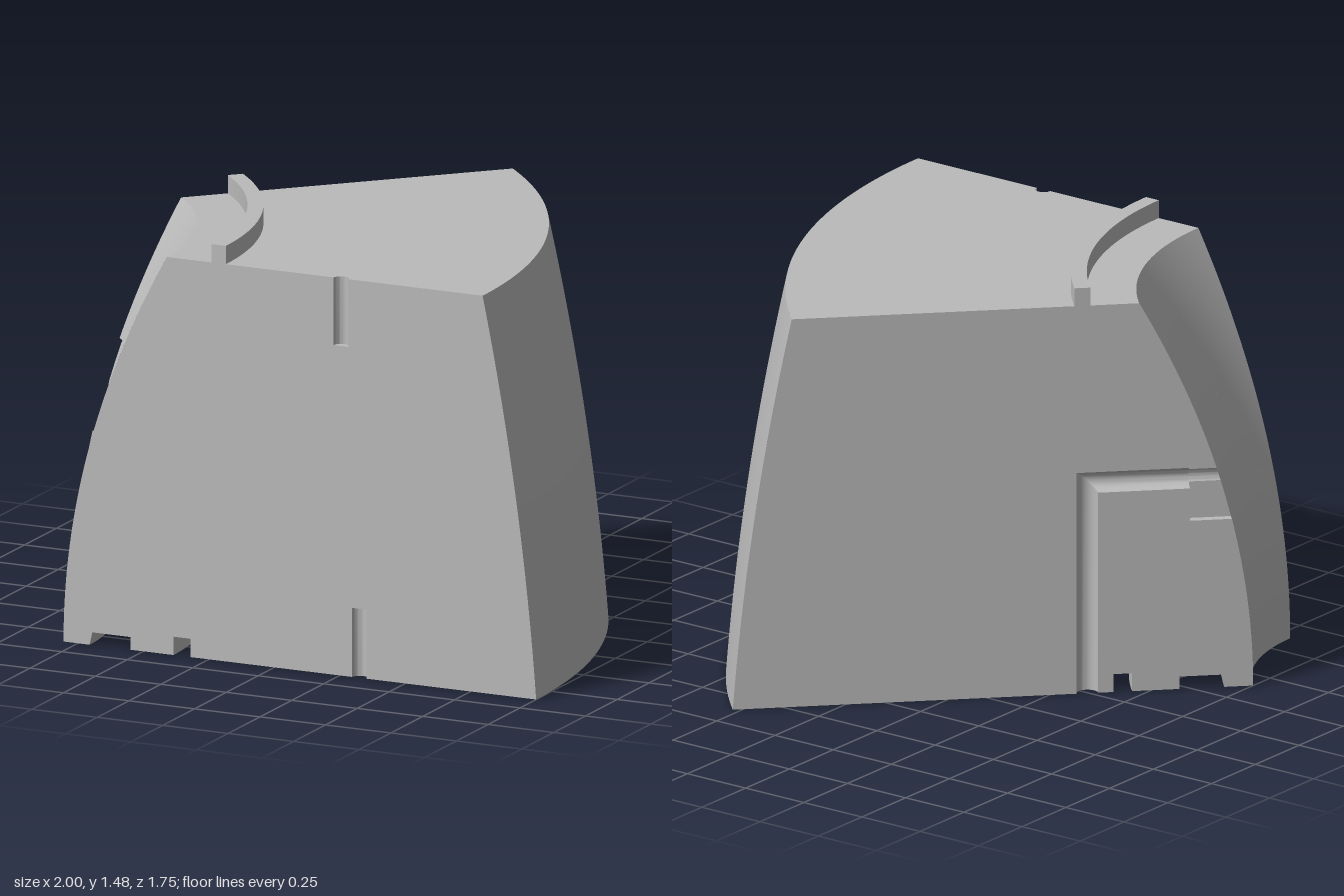
import * as THREE from 'three';
import { toCreasedNormals } from 'three/addons/utils/BufferGeometryUtils.js';

const SWEEP = Math.PI / 4, H = 1.41, C = Math.SQRT1_2;
const inner = y => 0.665 + 0.395 * (y / H) ** 2;          // wall radii by height
const outer = y => 2.47 - 0.0745 * y - 0.05 * y * y;
const lerp = (a, b, t) => a + (b - a) * t;
const range = (n, f) => Array.from({ length: n + 1 }, (_, i) => f(i / n));

// Underside section with its two ring grooves
const under = [[0.665, 0], [0.765, 0], [0.775, 0.045], [0.92, 0.045], [0.92, 0],
  [1.085, 0], [1.085, 0.065], [1.15, 0.065], [1.15, 0]];

// Side pocket and elbow channel on the slanted face
const R = 0.0375, CX = 1.24, CY = 0.765, PX = 0.884, P0 = 0.61, P1 = 0.93, PD = 0.03;
const channelDepth = y => Math.sqrt(Math.max(0, R * R - (y - CY) ** 2));
const pocketDepth = y => Math.max(PD, channelDepth(y));
const wallAt = (y, d) => Math.sqrt(inner(y) ** 2 - d * d);

// Half-round notches on the front face: radius position, bottom, top
const r = 0.028, notches = [[1.725, 1.17, H], [1.795, 0, 0.245]];

function flipFaces(g) {
  const ix = g.index.array;
  for (let i = 0; i < ix.length; i += 3) [ix[i + 1], ix[i + 2]] = [ix[i + 2], ix[i + 1]];
  g.computeVertexNormals();
  return g;
}

// Grid surface from a rule f(u, v) -> [x, y, z]
function sheet(nu, nv, f, flip = false) {
  const pos = [], idx = [], w = nu + 1;
  for (let j = 0; j <= nv; j++) for (let i = 0; i <= nu; i++) pos.push(...f(i / nu, j / nv));
  for (let j = 0; j < nv; j++) for (let i = 0; i < nu; i++) {
    const a = j * w + i, b = a + 1, c = a + w, d = c + 1;
    idx.push(a, b, d, a, d, c);
  }
  const g = new THREE.BufferGeometry();
  g.setAttribute('position', new THREE.Float32BufferAttribute(pos, 3));
  g.setIndex(idx);
  if (flip) flipFaces(g);
  return toCreasedNormals(g, Math.PI / 6);
}

const shapeOf = pts => new THREE.Shape(pts.map(p => new THREE.Vector2(p[0], p[1])));
const polar = (rad, a, y) => [rad * Math.cos(a), y, -rad * Math.sin(a)];
const arc = (rad, a, b) => range(40, t => [rad * Math.cos(lerp(a, b, t)), rad * Math.sin(lerp(a, b, t))]);
const halfRound = s => range(12, t => [s - r * Math.cos(Math.PI * t), r * Math.sin(Math.PI * t)]);

function face(pts, flip = false) {
  const g = new THREE.ShapeGeometry(shapeOf(pts));
  return flip ? flipFaces(g) : g;
}
function plate(pts, y, down = false) {
  return face(pts, down).rotateX(-Math.PI / 2).translate(0, y, 0);
}

export function createModel() {
  const gray = new THREE.MeshStandardMaterial({ color: 0xbbbbbb, side: THREE.DoubleSide });
  gray.name = 'light gray';
  const model = new THREE.Group();
  model.name = 'ringSegment';
  const body = new THREE.Group();
  body.name = 'body';
  body.position.set(-1.47, 0, 0.873);                      // ring axis
  const slanted = new THREE.Group();
  slanted.name = 'slantedSide';
  slanted.rotation.y = SWEEP;                              // local z points into the body
  model.add(body);
  body.add(slanted);
  const add = (name, geometry, parent = body) => {
    const m = new THREE.Mesh(geometry, gray);
    m.name = name;
    parent.add(m);
  };

  // Curved walls; the inner one steps back around the pocket
  add('outerWall', sheet(48, 32, (u, v) => polar(outer(v * H), u * SWEEP, v * H)));
  const bands = [[0, P0, () => 0], [P0, CY - R, pocketDepth], [CY - R, CY + R, pocketDepth],
    [CY + R, P1, pocketDepth], [P1, H, () => 0]];
  for (const [y0, y1, depth] of bands) {
    add('innerWall', sheet(40, 14, (u, v) => {
      const y = lerp(y0, y1, v), end = SWEEP - Math.asin(depth(y) / inner(y));
      return polar(inner(y), u * end, y);
    }, true));
  }

  // Top with its raised rim
  add('top', plate([[inner(H), 0], ...halfRound(notches[0][0]),
    ...arc(outer(H), 0, SWEEP), ...arc(inner(H), SWEEP, 0)], H));
  const rim = new THREE.ExtrudeGeometry(shapeOf([...arc(1.285, 0, SWEEP), ...arc(1.23, SWEEP, 0)]),
    { depth: 0.065, bevelEnabled: false });
  rim.rotateX(-Math.PI / 2).translate(0, H, 0);
  add('rim', toCreasedNormals(rim, Math.PI / 6));

  // Underside: grooved rings near the axis, flat plate beyond
  for (let i = 0; i + 1 < under.length; i++) {
    const [a, b] = [under[i], under[i + 1]];
    add('undersideRing', sheet(1, 40, (u, v) =>
      polar(lerp(a[0], b[0], u), v * SWEEP, lerp(a[1], b[1], u)), true));
  }
  const channelMouth = range(16, t => {
    const s = CX + R * Math.cos(Math.PI * t), d = R * Math.sin(Math.PI * t);
    return [(s + d) * C, (s - d) * C];
  });
  add('underside', plate([[1.15, 0], ...halfRound(notches[1][0]), ...arc(2.47, 0, SWEEP),
    ...channelMouth, ...arc(1.15, SWEEP, 0)], 0, true));

  // Front face with half-round notches
  const innerEdge = (y0, y1) => range(24, t => [inner(lerp(y0, y1, t)), lerp(y0, y1, t)]);
  const outerEdge = range(24, t => [outer(t * H), t * H]);
  const [[tx, t0], [bx, , b1]] = notches;
  add('frontFace', face([...under, [bx - r, 0], [bx - r, b1], [bx + r, b1], [bx + r, 0],
    ...outerEdge, [tx + r, H], [tx + r, t0], [tx - r, t0], [tx - r, H], ...innerEdge(H, 0)]));
  for (const [s, y0, y1] of notches) {
    add('notch', sheet(12, 1, (u, v) =>
      [s + r * Math.cos(Math.PI * u), lerp(y0, y1, v), -r * Math.sin(Math.PI * u)], true));
    add('notchEnd', y0 > 0 ? plate(halfRound(s), y0) : plate(halfRound(s), y1, true));
  }

  // Slanted face: main part and the block inside the elbow
  add('slantedFace', face([[CX + R, 0], ...outerEdge, ...innerEdge(H, P1),
    [PX, P1], [PX, CY + R], [CX + R, CY + R]], true), slanted);
  add('slantedBlock', face([...under, [CX - R, 0], [CX - R, CY - R], [PX, CY - R],
    [PX, P0], ...innerEdge(P0, 0)], true), slanted);

  // Elbow channel, mitred at its corner
  for (const upright of [true, false]) {
    add('channel', sheet(16, 1, (u, v) => {
      const o = R * Math.cos(Math.PI * u), d = R * Math.sin(Math.PI * u);
      return upright ? [CX + o, v * (CY + o), d] : [lerp(CX + o, PX, v), CY + o, d];
    }), slanted);
  }

  // Pocket floor and sides
  for (const [y0, y1] of [[P0, CY - R], [CY - R, CY + R], [CY + R, P1]]) {
    add('pocketFloor', sheet(20, 1, (u, v) => {
      const y = lerp(y0, y1, u), d = pocketDepth(y);
      return [lerp(wallAt(y, d), PX, v), y, d];
    }), slanted);
    add('pocketEnd', sheet(1, 20, (u, v) => {
      const y = lerp(y0, y1, v);
      return [PX, y, lerp(Math.min(PD, channelDepth(y)), PD, u)];
    }), slanted);
  }
  for (const y of [P0, P1]) {
    add('pocketSide', sheet(1, 1, (u, v) =>
      [lerp(wallAt(y, v * PD), PX, u), y, v * PD], y === P0), slanted);
  }
  return model;
}
